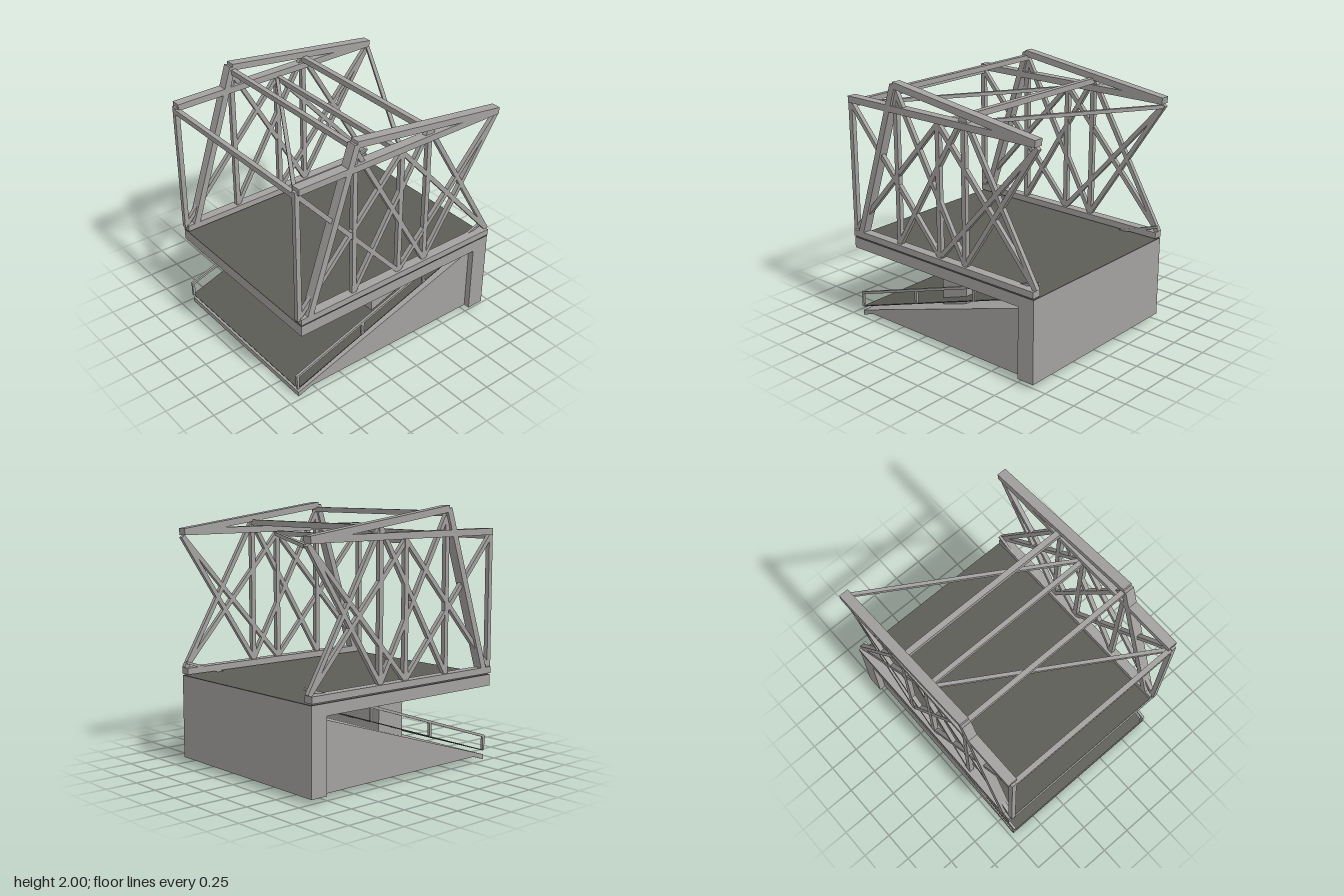
import * as THREE from 'three';

export function createModel() {
  const model = new THREE.Group();
  model.name = 'trussBridge';
  const concrete = new THREE.MeshStandardMaterial({ color: 0xa3a2a0 });
  concrete.name = 'light grey';
  const asphalt = new THREE.MeshStandardMaterial({ color: 0x5d5d58 });
  asphalt.name = 'dark grey';

  // Box given by its minimum and maximum corners
  function block(name, a, b, mat = concrete) {
    const m = new THREE.Mesh(new THREE.BoxGeometry(b[0] - a[0], b[1] - a[1], b[2] - a[2]), mat);
    m.position.set((a[0] + b[0]) / 2, (a[1] + b[1]) / 2, (a[2] + b[2]) / 2);
    m.name = name;
    model.add(m);
  }

  // Bar from a to b: w is its horizontal width, h its depth
  function bar(name, a, b, w, h, parent = model, mat = concrete) {
    const p = new THREE.Vector3(...a), q = new THREE.Vector3(...b);
    const m = new THREE.Mesh(new THREE.BoxGeometry(w, h, p.distanceTo(q)), mat);
    m.position.copy(p).lerp(q, 0.5);
    m.lookAt(q);
    m.name = name;
    parent.add(m);
  }

  // Deck, road surface, abutment and pier
  block('deckSlab', [-0.905, 0.6, -0.77], [0.905, 0.685, 0.77]);
  block('deckSurface', [-0.905, 0.684, -0.77], [0.905, 0.69, 0.77], asphalt);
  block('abutment', [0.765, 0.04, -0.77], [0.905, 0.684, 0.77]);
  block('pier', [-0.12, 0.2, -0.6], [0.12, 0.64, 0.6]);

  // Solid ramp under the deck
  const side = new THREE.Shape([
    [-0.905, 0], [-0.79, 0.04], [0.8, 0.04], [0.8, 0.582], [-0.905, 0.04],
  ].map(([x, y]) => new THREE.Vector2(x, y)));
  const rampGeometry = new THREE.ExtrudeGeometry(side, { depth: 1.44, bevelEnabled: false });
  rampGeometry.translate(0, 0, -0.72);
  const ramp = new THREE.Mesh(rampGeometry, concrete);
  ramp.name = 'ramp';
  model.add(ramp);
  bar('rampSurface', [-0.905, 0.073, 0], [0.88, 0.68, 0], 1.43, 0.007, model, asphalt);

  for (const s of [-1, 1]) {
    // Ramp railing
    const railing = new THREE.Group();
    railing.name = s > 0 ? 'frontRailing' : 'backRailing';
    model.add(railing);
    const rz = s * 0.71;
    bar('handrail', [-0.915, 0.185, rz], [0.91, 0.795, rz], 0.02, 0.02, railing);
    for (const x of [-0.905, -0.3, 0.3]) {
      const y = 0.073 + 0.34 * (x + 0.905);
      bar('railPost', [x, y, rz], [x, y + 0.115, rz], 0.02, 0.02, railing);
    }

    // Side truss
    const truss = new THREE.Group();
    truss.name = s > 0 ? 'frontTruss' : 'backTruss';
    model.add(truss);
    const z = s * 0.738;
    const member = (name, x0, y0, x1, y1, w, h) =>
      bar(name, [x0, y0, z], [x1, y1, z], w, h, truss);
    member('bottomChord', -0.905, 0.725, 0.905, 0.725, 0.075, 0.05);
    member('topChord', -0.905, 1.793, 0.905, 1.793, 0.075, 0.05);
    member('slopingChord', -0.42, 1.974, 0.908, 1.794, 0.075, 0.05);
    member('endBrace', -0.83, 0.73, -0.42, 1.975, 0.075, 0.05);

    // Uprights: x, top height
    for (const [x, top] of [[-0.905, 1.79], [-0.42, 1.93], [0, 1.77], [0.25, 1.86]])
      member('upright', x, 0.73, x, top, 0.038, 0.036);

    // Crossing diagonals
    for (const [x0, y0, x1, y1] of [
      [-0.905, 1.76, 0, 0.75], [-0.905, 0.75, 0, 1.76],
      [-0.42, 1.93, 0.25, 0.75], [-0.42, 0.75, 0.25, 1.86],
      [0, 0.75, 0.908, 1.76], [0, 1.76, 0.905, 0.75],
      [0.25, 0.75, 0.908, 1.76], [0.25, 1.86, 0.905, 0.75],
    ]) member('diagonal', x0, y0, x1, y1, 0.034, 0.034);
  }

  // Overhead cross beams: x, height, width
  for (const [x, y, w] of [[-0.905, 1.755, 0.038], [-0.415, 1.938, 0.038], [0, 1.755, 0.036], [0.248, 1.848, 0.044]])
    bar('crossBeam', [x, y, -0.72], [x, y, 0.72], w, w > 0.04 ? 0.044 : 0.04);

  // Overhead wind bracing
  for (const x of [-0.895, 0.015])
    bar('windBrace', [x, 1.75, 0.72], [x + 0.89, 1.75, -0.72], 0.028, 0.028);

  return model;
}
